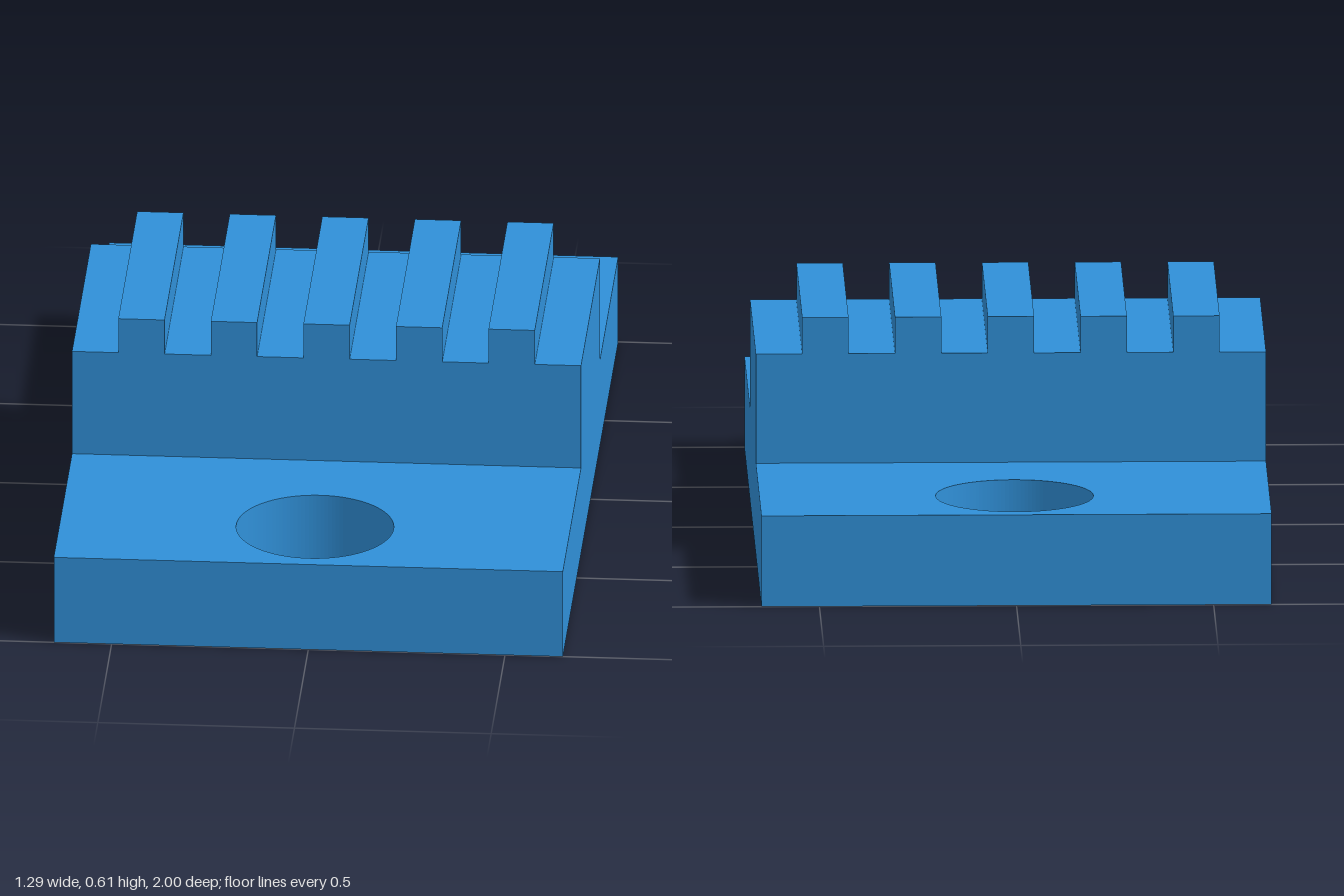
import * as THREE from 'three';

const UNIT = 2 / 17;              // tooth width; gaps are the same
const HALF_WIDTH = UNIT * 5.5;
const PLATE_TOP = 0.235;
const BLOCK_TOP = 0.518;
const TOOTH_TOP = 0.612;
const BLOCK_DEPTH = 0.682;
const HOLE_Z = 0.76;
const HOLE_RADIUS = 0.2;

export function createModel() {
  const blue = new THREE.MeshStandardMaterial({ color: 0x3090d8 });
  blue.name = 'blue';
  const group = new THREE.Group();
  group.name = 'toothedClampPlate';

  const addPart = (name, geometry) => {
    const mesh = new THREE.Mesh(geometry, blue);
    mesh.name = name;
    group.add(mesh);
  };

  // Base plate with a bolt hole at each end
  const outline = new THREE.Shape([
    new THREE.Vector2(-HALF_WIDTH, -1),
    new THREE.Vector2(HALF_WIDTH, -1),
    new THREE.Vector2(HALF_WIDTH, 1),
    new THREE.Vector2(-HALF_WIDTH, 1),
  ]);
  for (const side of [-1, 1]) {
    outline.holes.push(new THREE.Path().absarc(0, side * HOLE_Z, HOLE_RADIUS, 0, Math.PI * 2, true));
  }
  const plate = new THREE.ExtrudeGeometry(outline, { depth: PLATE_TOP, bevelEnabled: false, curveSegments: 64 });
  plate.rotateX(-Math.PI / 2);
  addPart('basePlate', plate);

  // Raised block with five teeth, drawn as one comb profile
  const comb = new THREE.Shape();
  comb.moveTo(-HALF_WIDTH, PLATE_TOP);
  comb.lineTo(HALF_WIDTH, PLATE_TOP);
  comb.lineTo(HALF_WIDTH, BLOCK_TOP);
  for (let i = 2; i >= -2; i--) {
    const right = (2 * i + 0.5) * UNIT;
    const left = right - UNIT;
    comb.lineTo(right, BLOCK_TOP);
    comb.lineTo(right, TOOTH_TOP);
    comb.lineTo(left, TOOTH_TOP);
    comb.lineTo(left, BLOCK_TOP);
  }
  comb.lineTo(-HALF_WIDTH, BLOCK_TOP);
  comb.closePath();
  const block = new THREE.ExtrudeGeometry(comb, { depth: BLOCK_DEPTH, bevelEnabled: false });
  block.translate(0, 0, -BLOCK_DEPTH / 2);
  addPart('toothedBlock', block);

  return group;
}
